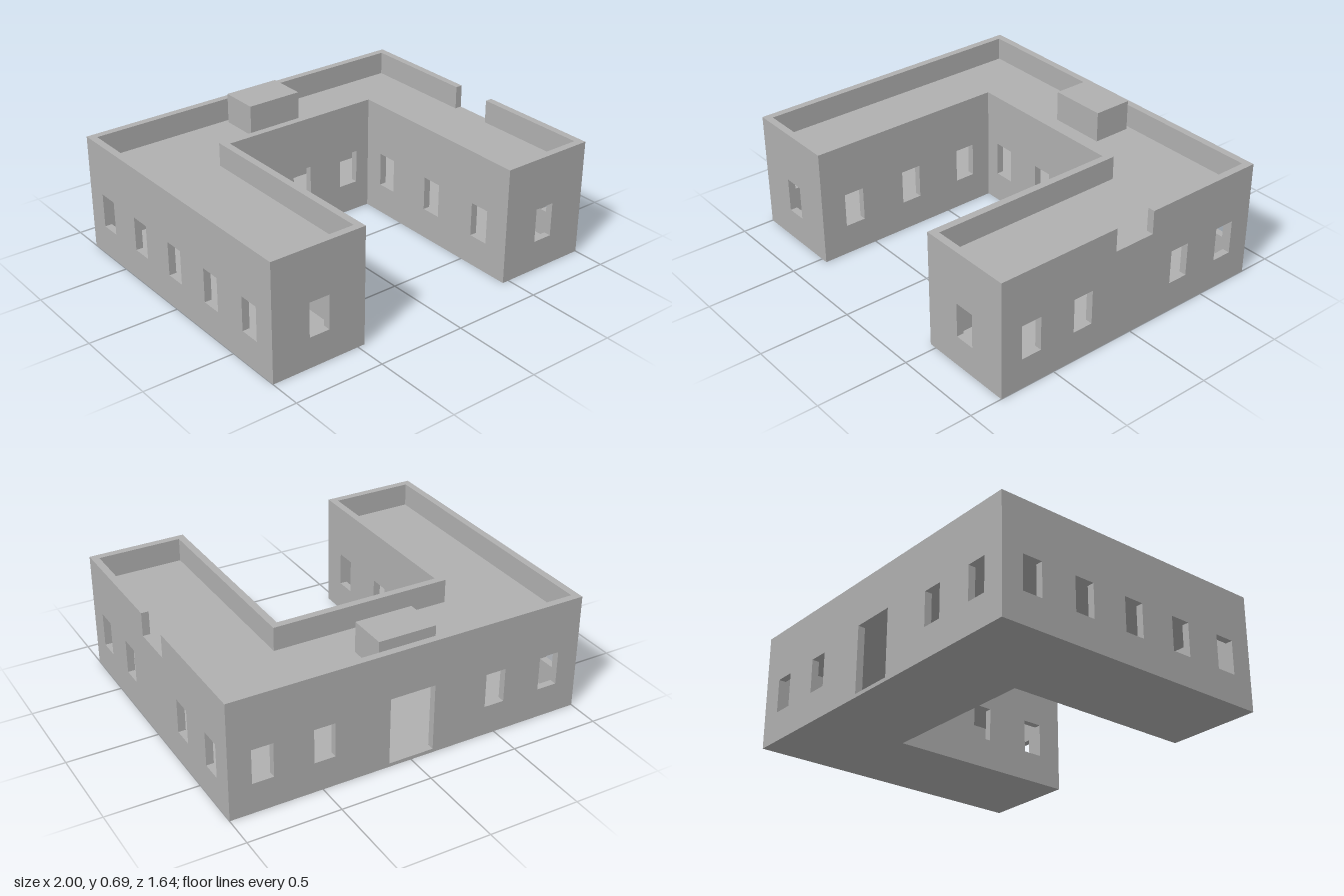
import * as THREE from 'three';

const T = 0.04;        // wall thickness
const H = 0.65;        // height to the top of the parapet
const ROOF = 0.52;     // roof surface
const FLOOR = 0.02;    // floor surface
const WIN = { width: 0.115, bottom: 0.17, top: 0.36 };

// Outer walls in order around the U plan: start corner (x, z) and window centres along the wall
const WALLS = [
  { name: 'leftWingFrontWall', p: [-1, 0.82], windows: [0.27] },
  { name: 'leftWingCourtyardWall', p: [-0.46, 0.82], windows: [0.2, 0.57, 0.94] },
  { name: 'courtyardBackWall', p: [-0.46, -0.29], windows: [0.14, 0.46, 0.78] },
  { name: 'rightWingCourtyardWall', p: [0.46, -0.29], windows: [0.17, 0.54, 0.91] },
  { name: 'rightWingFrontWall', p: [0.46, 0.82], windows: [0.27] },
  { name: 'notchedSideWall', p: [1, 0.82], windows: [0.18, 0.5, 1.14, 1.46], notch: [0.7, 0.94] },
  { name: 'backWall', p: [1, -0.82], windows: [0.18, 0.51, 1.49, 1.82], door: [0.873, 1.127] },
  { name: 'plainSideWall', p: [-1, -0.82], windows: [0.18, 0.5, 0.82, 1.14, 1.46] },
];

const polygon = (pts) => new THREE.Shape(pts.map(([x, y]) => new THREE.Vector2(x, y)));

function rectHole(u0, u1, y0, y1) {
  return new THREE.Path([[u0, y0], [u0, y1], [u1, y1], [u1, y0]].map(([x, y]) => new THREE.Vector2(x, y)));
}

// Wall with openings; its ends are mitred to meet the neighbouring walls
function wallGeometry(length, wall, startSign, endSign) {
  const top = [[length, H]];
  if (wall.notch) {
    const [a, b] = wall.notch;
    top.push([b, H], [b, ROOF], [a, ROOF], [a, H]);
  }
  const shape = polygon([[0, 0], [length, 0], ...top, [0, H]]);
  for (const c of wall.windows) {
    shape.holes.push(rectHole(c - WIN.width / 2, c + WIN.width / 2, WIN.bottom, WIN.top));
  }
  if (wall.door) shape.holes.push(rectHole(...wall.door, FLOOR, 0.395));

  const geo = new THREE.ExtrudeGeometry(shape, { depth: T, bevelEnabled: false });
  geo.translate(0, 0, -T);
  const pos = geo.attributes.position;
  for (let i = 0; i < pos.count; i++) {
    const u = pos.getX(i), depth = -pos.getZ(i);
    if (u < 1e-5) pos.setX(i, u + startSign * depth);
    else if (u > length - 1e-5) pos.setX(i, u - endSign * depth);
  }
  geo.computeVertexNormals();
  return geo;
}

export function createModel() {
  const group = new THREE.Group();
  const concrete = new THREE.MeshStandardMaterial({ color: 0xb0b0b0 });
  concrete.name = 'concrete grey';

  const add = (name, geo) => {
    const mesh = new THREE.Mesh(geo, concrete);
    mesh.name = name;
    group.add(mesh);
    return mesh;
  };

  const n = WALLS.length;
  const corner = (i) => new THREE.Vector2(...WALLS[(i + n) % n].p);
  const direction = (i) => corner(i + 1).sub(corner(i)).normalize();
  // +1 at an outward corner, -1 at a courtyard corner
  const cornerSign = (i) => -Math.sign(direction(i - 1).cross(direction(i)));

  // Walls
  WALLS.forEach((wall, i) => {
    const a = corner(i), d = direction(i);
    const length = a.distanceTo(corner(i + 1));
    const mesh = add(wall.name, wallGeometry(length, wall, cornerSign(i), cornerSign(i + 1)));
    mesh.position.set(a.x, 0, a.y);
    mesh.rotation.y = Math.atan2(-d.y, d.x);
  });

  // Floor and roof slabs fill the plan inside the walls
  const inner = WALLS.map((_, i) => {
    const d0 = direction(i - 1), d1 = direction(i), p = corner(i);
    // the outward normal of direction (x, z) is (-z, x)
    return [p.x + T * (d0.y + d1.y), -(p.y - T * (d0.x + d1.x))];
  });
  const slab = (name, top, thickness) => {
    const geo = new THREE.ExtrudeGeometry(polygon(inner), { depth: thickness, bevelEnabled: false });
    geo.rotateX(-Math.PI / 2);
    add(name, geo).position.y = top - thickness;
  };
  slab('floor', FLOOR, FLOOR);
  slab('roof', ROOF, 0.02);

  // Rooftop box
  add('rooftopHatch', new THREE.BoxGeometry(0.32, 0.69 - ROOF, 0.22))
    .position.set(0, (0.69 + ROOF) / 2, -0.645);

  return group;
}
